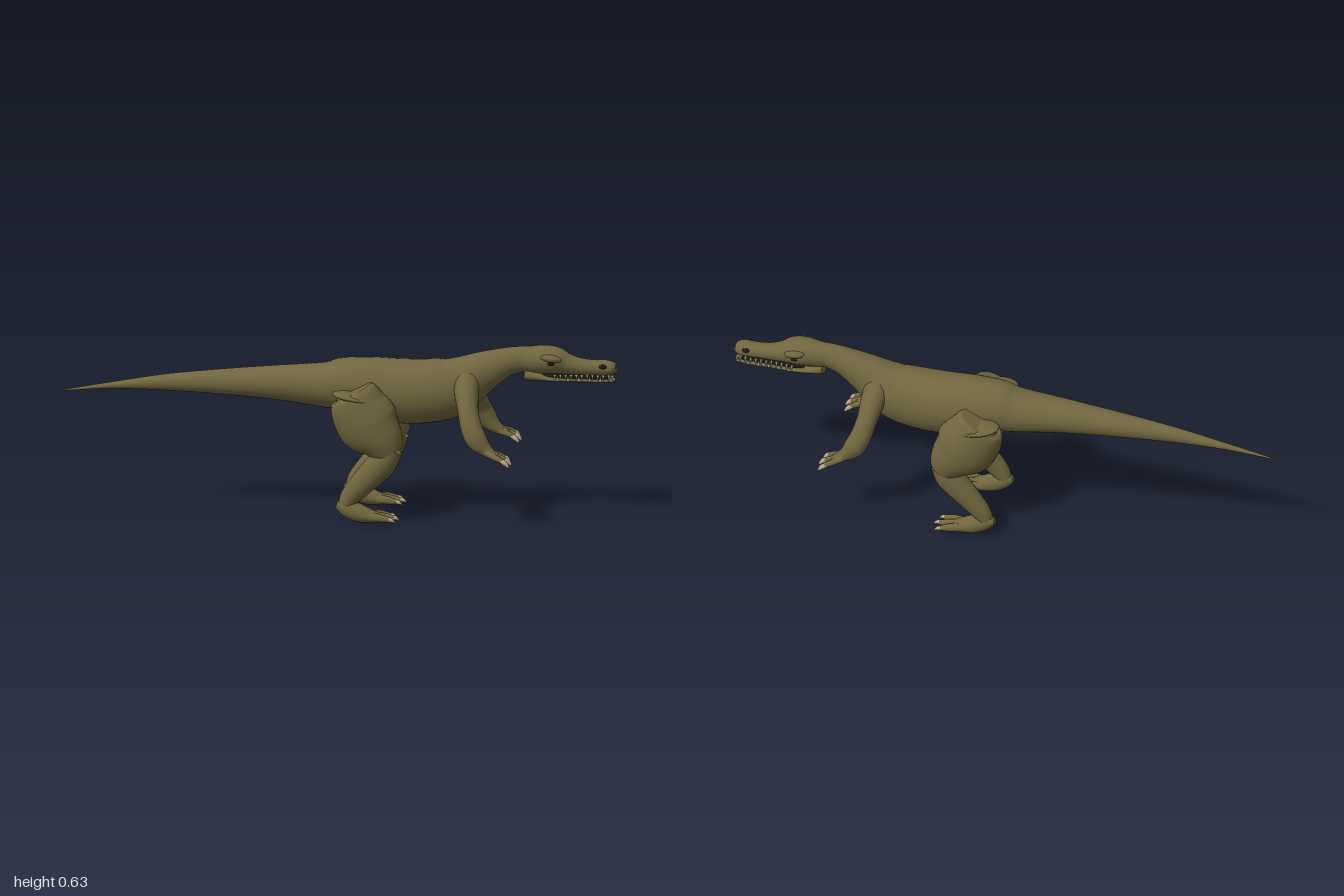
import * as THREE from 'three';

const mat = (name, color, side = THREE.FrontSide) => {
  const m = new THREE.MeshStandardMaterial({ color, side });
  m.name = name;
  return m;
};

// Smooth skin through stations [x, y, z, radius up, radius sideways]
function loft(stations, seg = 24, steps = 4) {
  const v = (a, b, c) => new THREE.Vector3(a, b, c);
  const path = new THREE.CatmullRomCurve3(stations.map(s => v(s[0], s[1], s[2])), false, 'catmullrom', 0.5);
  const radii = new THREE.CatmullRomCurve3(stations.map(s => v(s[3], s[4], 0)), false, 'catmullrom', 0.5);
  const n = (stations.length - 1) * steps, pos = [], index = [];
  const ring = (t, scale) => {
    const p = path.getPoint(t), r = radii.getPoint(t), tan = path.getTangent(t);
    const side = v(0, 0, 1).addScaledVector(tan, -tan.z).normalize();
    const up = side.clone().cross(tan);
    for (let j = 0; j <= seg; j++) {
      const a = j / seg * Math.PI * 2;
      const q = p.clone().addScaledVector(up, Math.max(r.x, 0.0005) * Math.cos(a) * scale)
        .addScaledVector(side, Math.max(r.y, 0.0005) * Math.sin(a) * scale);
      pos.push(q.x, q.y, q.z);
    }
  };
  // doubled end rings keep the caps crisp
  const rings = [[0, 0.001], [0, 1]];
  for (let i = 0; i <= n; i++) rings.push([i / n, 1]);
  rings.push([1, 1], [1, 0.001]);
  rings.forEach(([t, s]) => ring(t, s));
  for (let i = 0; i < rings.length - 1; i++) {
    if (i === 1 || i === rings.length - 3) continue;
    for (let j = 0; j < seg; j++) {
      const a = i * (seg + 1) + j, c = a + seg + 1;
      index.push(a, a + 1, c, a + 1, c + 1, c);
    }
  }
  const g = new THREE.BufferGeometry();
  g.setAttribute('position', new THREE.Float32BufferAttribute(pos, 3));
  g.setIndex(index);
  g.computeVertexNormals();
  // weld normals across the lengthwise seam
  const nm = g.attributes.normal;
  for (let i = 0; i < rings.length; i++) {
    const a = i * (seg + 1), b = a + seg;
    const w = v(nm.getX(a) + nm.getX(b), nm.getY(a) + nm.getY(b), nm.getZ(a) + nm.getZ(b)).normalize();
    nm.setXYZ(a, w.x, w.y, w.z);
    nm.setXYZ(b, w.x, w.y, w.z);
  }
  return g;
}

export function createModel() {
  const root = new THREE.Group();
  root.name = 'dinosaur';
  const skin = mat('olive skin', 0x71663f);
  const claw = mat('claw horn', 0xb7a78d);
  const tooth = mat('tooth ivory', 0xd2c8b4);
  const dark = mat('dark eye', 0x1c1a14);
  const add = (name, geo, m, parent = root) => {
    const mesh = new THREE.Mesh(geo, m);
    mesh.name = name;
    parent.add(mesh);
    return mesh;
  };
  // profile rows: x, top, bottom, half width
  const profile = rows => rows.map(([x, t, b, w]) => [x, (t + b) / 2, 0, (t - b) / 2, w]);

  // Tail, trunk and neck
  add('body', loft(profile([
    [-1, 0.421, 0.419, 0.001], [-0.8, 0.458, 0.435, 0.012], [-0.6, 0.493, 0.434, 0.026],
    [-0.4, 0.516, 0.425, 0.044], [-0.2, 0.535, 0.41, 0.062], [-0.03, 0.55, 0.387, 0.08],
    [0.03, 0.568, 0.378, 0.088], [0.12, 0.573, 0.355, 0.096], [0.23, 0.569, 0.337, 0.101],
    [0.32, 0.57, 0.339, 0.1], [0.4, 0.576, 0.357, 0.092], [0.46, 0.587, 0.4, 0.08],
    [0.53, 0.605, 0.46, 0.062], [0.6, 0.618, 0.51, 0.047], [0.66, 0.625, 0.532, 0.04],
    [0.72, 0.626, 0.535, 0.036],
  ]), 32), skin);

  // Skull narrowing to a bulbous snout
  const head = new THREE.Group();
  head.name = 'head';
  root.add(head);
  add('skull', loft(profile([
    [0.65, 0.622, 0.54, 0.037], [0.7, 0.627, 0.53, 0.045], [0.745, 0.631, 0.53, 0.056],
    [0.785, 0.625, 0.53, 0.056], [0.825, 0.603, 0.528, 0.041], [0.87, 0.588, 0.527, 0.033],
    [0.92, 0.582, 0.527, 0.031], [0.96, 0.583, 0.526, 0.033], [0.985, 0.577, 0.529, 0.03],
    [0.998, 0.566, 0.537, 0.017], [1, 0.555, 0.549, 0.003],
  ]), 28), skin, head);
  add('lowerJaw', loft(profile([
    [0.675, 0.552, 0.504, 0.036], [0.72, 0.54, 0.504, 0.043], [0.78, 0.524, 0.504, 0.042],
    [0.86, 0.519, 0.503, 0.035], [0.94, 0.517, 0.503, 0.034], [0.985, 0.517, 0.505, 0.027],
    [0.998, 0.514, 0.508, 0.012],
  ]), 24), skin, head);
  add('mouthInside', loft(profile([
    [0.74, 0.54, 0.51, 0.032], [0.86, 0.535, 0.51, 0.025], [0.97, 0.533, 0.51, 0.022],
  ]), 16), dark, head);

  for (const s of [1, -1]) {
    const label = s > 0 ? 'right' : 'left';
    // Brow, eye and nostril
    const brow = add(label + 'Brow', new THREE.SphereGeometry(1, 20, 14), skin, head);
    brow.scale.set(0.038, 0.014, 0.017);
    brow.position.set(0.772, 0.594, s * 0.047);
    brow.rotation.z = -0.15;
    const eye = add(label + 'Eye', new THREE.SphereGeometry(1, 16, 12), dark, head);
    eye.scale.set(0.014, 0.009, 0.008);
    eye.position.set(0.772, 0.578, s * 0.053);
    const nostril = add(label + 'Nostril', new THREE.SphereGeometry(1, 16, 12), dark, head);
    nostril.scale.set(0.014, 0.009, 0.006);
    nostril.position.set(0.955, 0.564, s * 0.029);
    // Upper and lower teeth
    for (let i = 0; i < 11; i++) {
      const x = 0.785 + i * 0.019;
      const z = s * (x < 0.86 ? 0.037 - (x - 0.785) * 0.08 : x > 0.96 ? 0.026 : 0.031);
      const upper = add(label + 'UpperTooth', new THREE.ConeGeometry(0.0055, 0.024, 7), tooth, head);
      upper.position.set(x, 0.523, z);
      upper.rotation.set(Math.PI - s * 0.2, 0, 0);
      if (i % 2 === 0) {
        const lower = add(label + 'LowerTooth', new THREE.ConeGeometry(0.005, 0.02, 7), tooth, head);
        lower.position.set(x + 0.009, 0.523, z);
      }
    }

    // Hind leg
    const leg = new THREE.Group();
    leg.name = label + 'HindLeg';
    root.add(leg);
    const limb = rows => loft(rows.map(([x, y, z, a, b]) => [x, y, s * z, a, b]));
    add('thigh', limb([
      [0.075, 0.474, 0.115, 0.066, 0.052], [0.083, 0.458, 0.115, 0.088, 0.068],
      [0.1, 0.41, 0.112, 0.107, 0.078], [0.135, 0.35, 0.113, 0.112, 0.08],
      [0.178, 0.3, 0.12, 0.082, 0.068], [0.207, 0.252, 0.125, 0.054, 0.048],
    ]), skin, leg);
    const fold = add('hipFold', new THREE.SphereGeometry(1, 20, 12), skin, leg);
    fold.scale.set(0.085, 0.015, 0.055);
    fold.position.set(0.085, 0.458, s * 0.132);
    fold.rotation.z = -0.15;
    add('shin', limb([
      [0.212, 0.275, 0.125, 0.042, 0.042], [0.18, 0.22, 0.126, 0.052, 0.046],
      [0.12, 0.155, 0.128, 0.045, 0.038], [0.07, 0.1, 0.13, 0.036, 0.029],
      [0.05, 0.065, 0.13, 0.028, 0.025],
    ]), skin, leg);
    add('foot', limb([
      [0.018, 0.064, 0.13, 0.013, 0.014], [0.05, 0.056, 0.13, 0.032, 0.026],
      [0.1, 0.035, 0.13, 0.032, 0.033], [0.15, 0.024, 0.13, 0.02, 0.032],
      [0.18, 0.02, 0.13, 0.01, 0.022],
    ]), skin, leg);
    for (const d of [-1, 0, 1]) {
      const reach = d ? 0 : 0.012;
      add('toe', limb([
        [0.12, 0.026, 0.13 + d * 0.015, 0.016, 0.014],
        [0.17, 0.026, 0.13 + d * 0.028, 0.015, 0.013],
        [0.208 + reach, 0.021, 0.13 + d * 0.034, 0.009, 0.009],
      ]), skin, leg);
      add('toeClaw', limb([
        [0.195 + reach, 0.023, 0.13 + d * 0.033, 0.007, 0.007],
        [0.215 + reach, 0.021, 0.13 + d * 0.036, 0.0075, 0.006],
        [0.23 + reach, 0.012, 0.13 + d * 0.037, 0.001, 0.001],
      ]), claw, leg);
    }

    // Front arm
    const arm = new THREE.Group();
    arm.name = label + 'Arm';
    root.add(arm);
    add('armSkin', limb([
      [0.47, 0.515, 0.035, 0.045, 0.04], [0.475, 0.475, 0.08, 0.044, 0.045],
      [0.485, 0.42, 0.127, 0.037, 0.039], [0.5, 0.365, 0.16, 0.038, 0.034],
      [0.522, 0.32, 0.171, 0.038, 0.032], [0.552, 0.288, 0.172, 0.025, 0.026],
      [0.575, 0.274, 0.176, 0.016, 0.026],
    ]), skin, arm);
    add('palm', limb([
      [0.55, 0.286, 0.172, 0.018, 0.022], [0.575, 0.272, 0.178, 0.016, 0.032],
      [0.597, 0.263, 0.183, 0.01, 0.032],
    ]), skin, arm);
    for (const d of [-1, 0, 1]) {
      const reach = d ? 0 : 0.006;
      add('finger', limb([
        [0.57, 0.274, 0.178 + d * 0.016, 0.012, 0.012],
        [0.597, 0.266, 0.183 + d * 0.028, 0.011, 0.011],
        [0.618 + reach, 0.258, 0.184 + d * 0.034, 0.008, 0.009],
      ]), skin, arm);
      add('fingerClaw', limb([
        [0.608 + reach, 0.262, 0.184 + d * 0.033, 0.007, 0.008],
        [0.625 + reach, 0.252, 0.184 + d * 0.036, 0.009, 0.009],
        [0.638 + reach, 0.238, 0.184 + d * 0.037, 0.004, 0.006],
      ]), claw, arm);
    }
  }
  return root;
}
